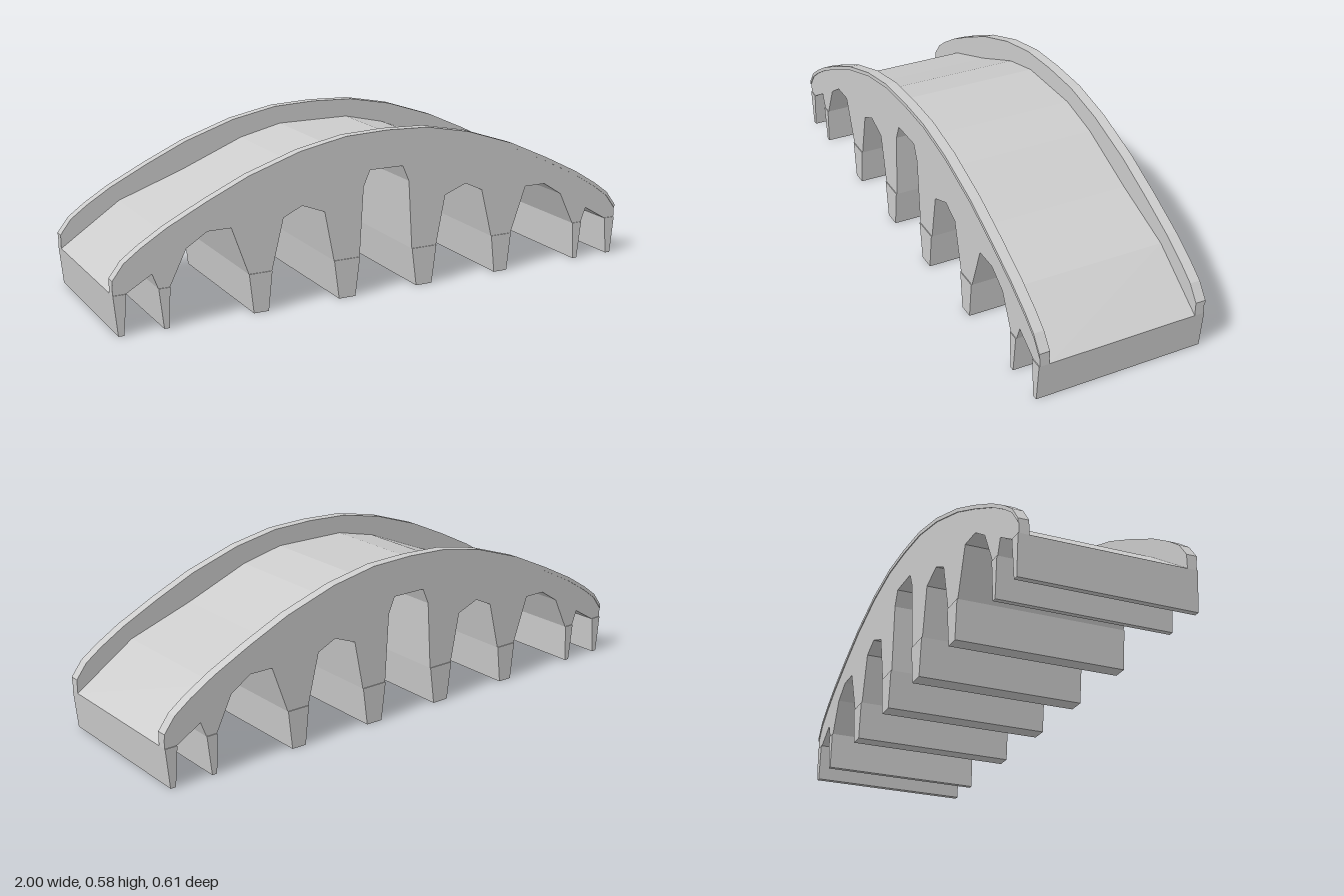
import * as THREE from 'three';

const HALF_DEPTH = 0.307, DECK_HALF = 0.27, SPRING = 0.14, COPING = 0.015;

// Half profiles, running from the middle outwards
const parapetTop = [[0, 0.582], [0.16, 0.576], [0.33, 0.543], [0.52, 0.48], [0.67, 0.412], [0.81, 0.342], [0.9, 0.287], [0.96, 0.243], [1, 0.19]];
const deckTop = [[0, 0.51], [0.14, 0.51], [0.3, 0.473], [0.54, 0.375], [0.78, 0.29], [1, SPRING]];
const arches = [
  [0, 0.447], [0.065, 0.447], [0.09, 0.39], [0.105, SPRING],
  [0.205, SPRING], [0.24, 0.32], [0.325, 0.353], [0.395, 0.32], [0.44, SPRING],
  [0.525, SPRING], [0.585, 0.31], [0.67, 0.31], [0.745, 0.262], [0.805, SPRING],
  [0.845, SPRING], [0.865, 0.193], [0.955, SPRING], [1, SPRING],
];
// Pier outlines: top left, top right, foot right, foot left
const piers = [
  [0.105, 0.205, 0.187, 0.123],
  [0.44, 0.525, 0.51, 0.455],
  [0.805, 0.845, 0.83, 0.812],
  [0.955, 1, 0.987, 0.967],
];

// Full left-to-right line from a half profile
const mirrored = (half) => [...half.slice(1).reverse().map(([x, y]) => [-x, y]), ...half];

const band = (top, bottom) => [...mirrored(top), ...mirrored(bottom).reverse()];

export function createModel() {
  const group = new THREE.Group();
  const material = new THREE.MeshStandardMaterial({ color: 0xcccccc, flatShading: true });

  // Extrudes an outline between two depths
  const slab = (name, points, z0, z1) => {
    const shape = new THREE.Shape(points.map(([x, y]) => new THREE.Vector2(x, y)));
    const geometry = new THREE.ExtrudeGeometry(shape, { depth: z1 - z0, bevelEnabled: false });
    geometry.translate(0, 0, z0);
    const mesh = new THREE.Mesh(geometry, material);
    mesh.name = name;
    group.add(mesh);
  };

  // Roadway with the arched underside
  slab('deck', band(deckTop, arches), -DECK_HALF, DECK_HALF);

  // Side walls, each finished with a slightly proud coping
  const wallTop = parapetTop.map(([x, y]) => [x, y - COPING]);
  const inset = 0.003;
  slab('frontWall', band(wallTop, arches), DECK_HALF, HALF_DEPTH - inset);
  slab('backWall', band(wallTop, arches), -HALF_DEPTH + inset, -DECK_HALF);
  slab('frontCoping', band(parapetTop, wallTop), DECK_HALF, HALF_DEPTH);
  slab('backCoping', band(parapetTop, wallTop), -HALF_DEPTH, -DECK_HALF);

  // Tapered piers across the full width
  for (const [side, label] of [[1, 'left'], [-1, 'right']]) {
    piers.forEach(([a, b, c, d], i) => {
      const outline = [[a, SPRING], [b, SPRING], [c, 0], [d, 0]].map(([x, y]) => [x * side, y]);
      slab(`${label}Pier${i + 1}`, outline, -HALF_DEPTH, HALF_DEPTH);
    });
  }
  return group;
}
